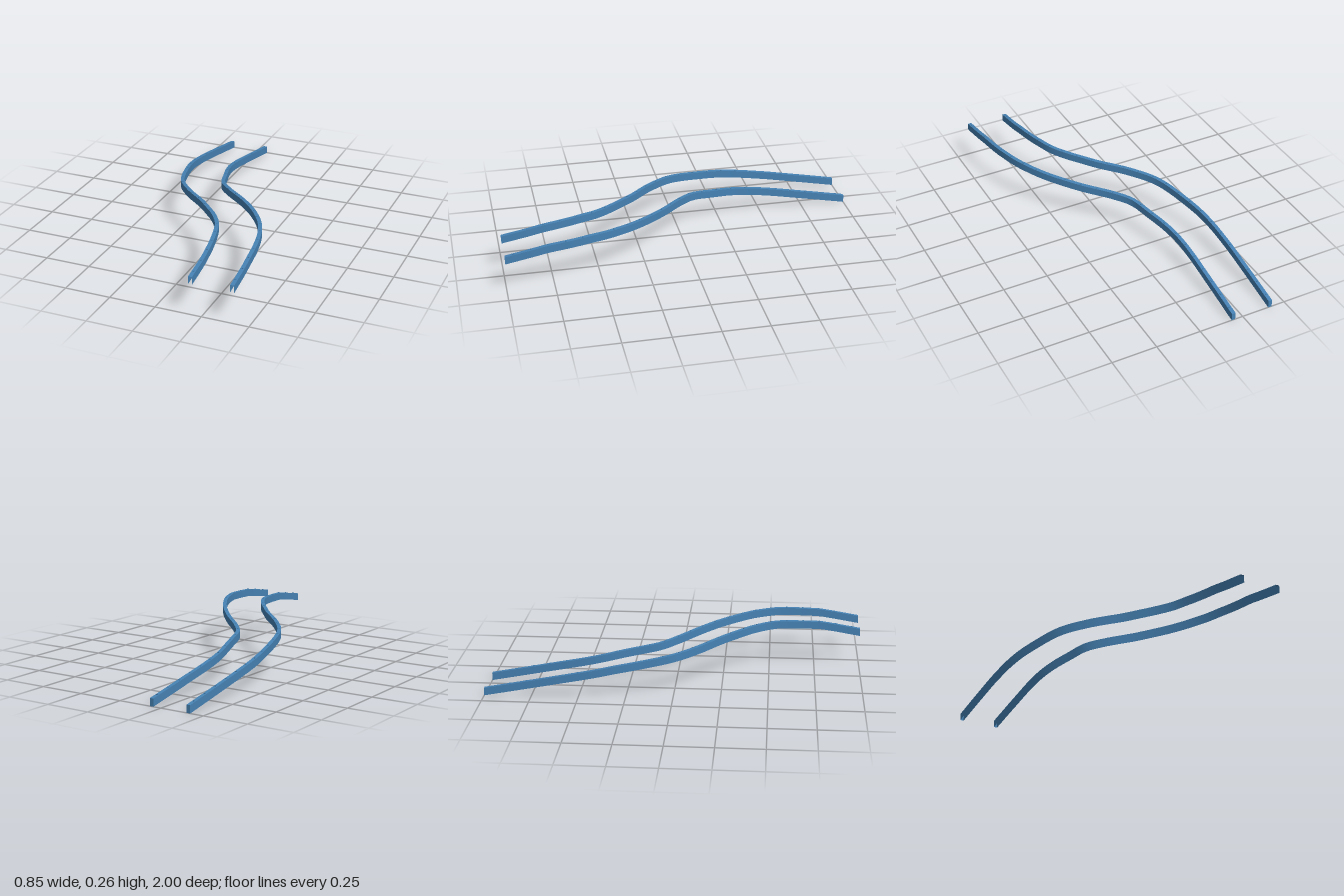
import * as THREE from 'three';

const HALF = 0.0105, DEPTH = 0.041, STEPS = 64, STUDS = 24;
const blue = new THREE.MeshStandardMaterial({ color: 0x4682b4, side: THREE.DoubleSide });

// Height of the rail top along z, shared by both rails
const heights = [[-1, 0.041], [-0.8, 0.08], [-0.6, 0.119], [-0.3, 0.174], [0, 0.214],
  [0.2, 0.238], [0.4, 0.256], [0.55, 0.262], [0.78, 0.248], [1, 0.21]];
// Plan of each rail as [x, z]
const leftPlan = [[-0.195, -1], [-0.197, -0.75], [-0.195, -0.5], [-0.18, -0.38], [-0.13, -0.2], [-0.094, -0.09],
  [-0.02, 0], [0.115, 0.13], [0.23, 0.265], [0.315, 0.4], [0.357, 0.5], [0.383, 0.6], [0.407, 0.8], [0.413, 1]];
const rightPlan = [[-0.414, -1], [-0.416, -0.75], [-0.415, -0.55], [-0.404, -0.38], [-0.365, -0.19], [-0.3, 0],
  [-0.2, 0.13], [-0.065, 0.26], [0.01, 0.345], [0.057, 0.4], [0.12, 0.5], [0.152, 0.6], [0.187, 0.8], [0.193, 1]];

function heightAt(z) {
  let i = 0;
  while (i < heights.length - 2 && z > heights[i + 1][0]) i++;
  const [a, b] = [heights[i], heights[i + 1]];
  return THREE.MathUtils.mapLinear(z, a[0], b[0], a[1], b[1]);
}

// Sheet swept along the frames between two section corners [across, down]
function strip(frames, from, to) {
  const pos = [], index = [];
  frames.forEach(({ p, side }, i) => {
    for (const [s, d] of [from, to]) pos.push(p.x + side.x * s, p.y + d, p.z + side.z * s);
    if (i) {
      const k = 2 * i;
      index.push(k - 2, k, k - 1, k - 1, k, k + 1);
    }
  });
  const g = new THREE.BufferGeometry();
  g.setAttribute('position', new THREE.Float32BufferAttribute(pos, 3));
  g.setIndex(index);
  g.computeVertexNormals();
  return g;
}

function makeRail(plan, name) {
  const rail = new THREE.Group();
  rail.name = name;
  const curve = new THREE.CatmullRomCurve3(plan.map(([x, z]) => new THREE.Vector3(x, 0, z)), false, 'centripetal');
  const frameAt = t => {
    const p = curve.getPointAt(t), dir = curve.getTangentAt(t);
    if (t === 0 || t === 1) dir.set(0, 0, 1);
    p.y = heightAt(p.z);
    return { p, dir, side: new THREE.Vector3(dir.z, 0, -dir.x) };
  };
  const frames = Array.from({ length: STEPS + 1 }, (_, i) => frameAt(i / STEPS));
  const add = (geometry, part) => {
    const m = new THREE.Mesh(geometry, blue);
    m.name = part;
    rail.add(m);
    return m;
  };

  // Channel open underneath: top and two thin walls
  add(strip(frames, [-HALF, 0], [HALF, 0]), 'railTop');
  add(strip(frames, [HALF, 0], [HALF, -DEPTH]), 'leftWall');
  add(strip(frames, [-HALF, -DEPTH], [-HALF, 0]), 'rightWall');

  // Plate closing the back end
  const cap = add(new THREE.PlaneGeometry(2 * HALF, DEPTH), 'backCap');
  cap.rotation.y = Math.PI;
  cap.position.copy(frames[0].p).y -= DEPTH / 2;

  // Small studs along the top
  const studShape = new THREE.BoxGeometry(0.008, 0.004, 0.008);
  for (let i = 0; i < STUDS; i++) {
    const { p, dir } = frameAt((i + 0.5) / STUDS);
    const stud = add(studShape, 'stud');
    stud.position.copy(p).y += 0.001;
    stud.rotation.y = Math.atan2(dir.x, dir.z);
  }
  return rail;
}

export function createModel() {
  const model = new THREE.Group();
  model.name = 'curvedRails';
  model.add(makeRail(leftPlan, 'leftRail'), makeRail(rightPlan, 'rightRail'));
  return model;
}
